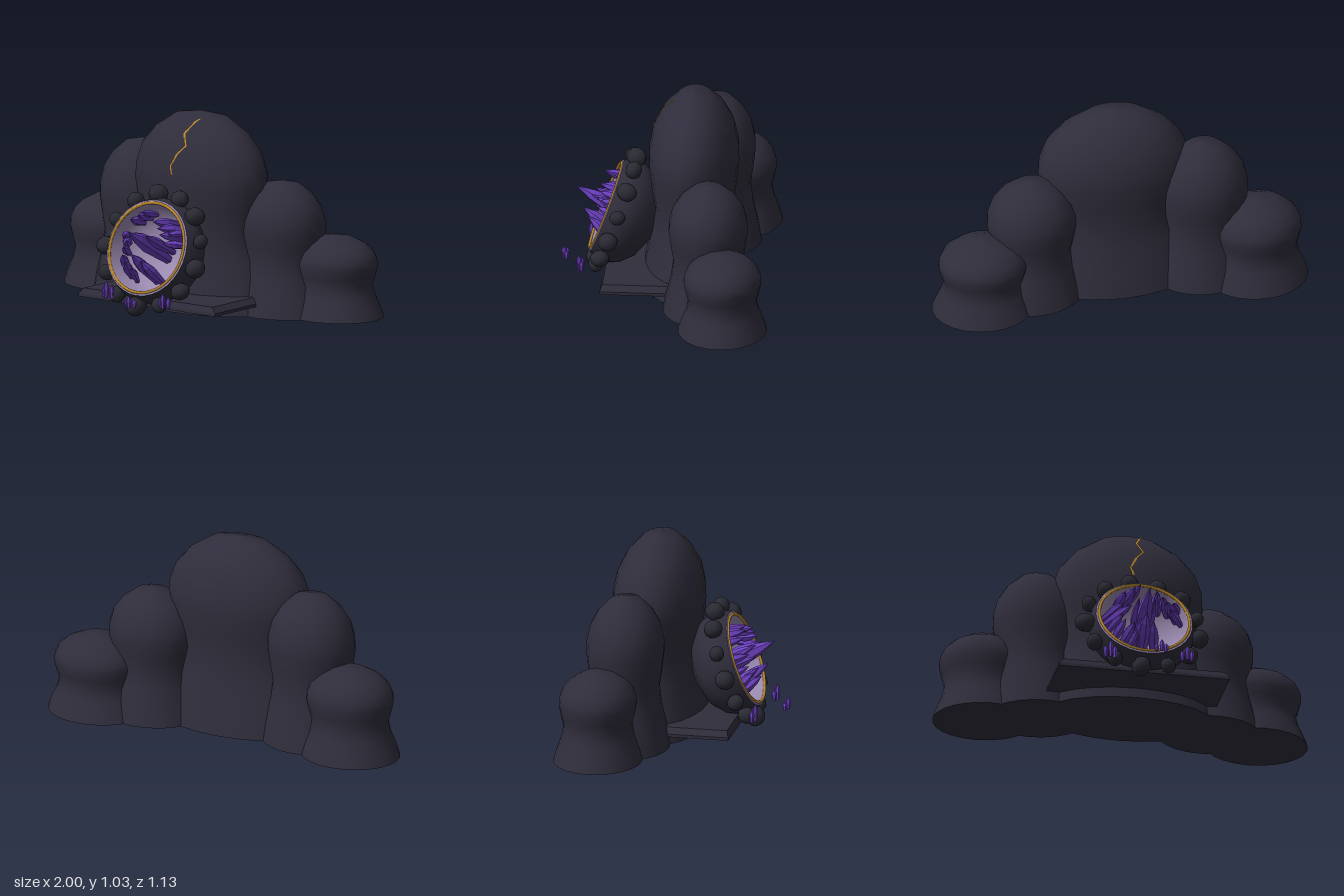
import * as THREE from 'three';

const mat = (name, color, extra = {}) => Object.assign(new THREE.MeshStandardMaterial({ color, ...extra }), { name });
const V = (x, y, z) => new THREE.Vector3(x, y, z);

export function createModel() {
  const rock = mat('dark rock', 0x2f2d3b);
  const boulderRock = mat('boulder rock', 0x2a2a34);
  const lining = mat('pale lilac lining', 0x9a8ab0);
  const gold = mat('gold', 0xb5852c, { side: THREE.DoubleSide });
  const purple = mat('purple crystal', 0x6b40bf, { flatShading: true });

  const model = new THREE.Group();
  model.name = 'geodeRock';
  const add = (parent, name, geometry, material) => {
    const mesh = new THREE.Mesh(geometry, material);
    mesh.name = name;
    parent.add(mesh);
    return mesh;
  };
  const lathe = (pts, sides) => new THREE.LatheGeometry(pts.map(([r, y]) => new THREE.Vector2(r, y)), sides);

  // Shared mound profile: flared foot, waist, bulge and dome (radius, height)
  const mound = [[1.15, 0], [1.07, 0.12], [0.94, 0.27], [0.88, 0.4], [0.95, 0.52], [1, 0.63], [0.99, 0.71],
    [0.9, 0.81], [0.7, 0.9], [0.39, 0.977], [0, 1]];
  const addMound = (name, x, z, rx, rz, h) => {
    const group = new THREE.Group();
    group.name = name;
    group.position.set(x, 0, z);
    group.scale.set(rx, h, rz);
    add(group, 'moundBody', lathe(mound, 24), rock);
    add(group, 'moundBottom', new THREE.CircleGeometry(1.15, 24).rotateX(Math.PI / 2), rock);
    model.add(group);
  };
  const main = { z: -0.128, rx: 0.402, rz: 0.236, h: 1.033 };
  addMound('centreMound', 0, main.z, main.rx, main.rz, main.h);
  addMound('leftInnerMound', 0.455, -0.235, 0.236, 0.207, 0.7);
  addMound('leftOuterMound', 0.73, -0.33, 0.235, 0.203, 0.428);
  addMound('rightInnerMound', -0.46, -0.212, 0.237, 0.203, 0.822);
  addMound('rightOuterMound', -0.73, -0.302, 0.235, 0.203, 0.485);

  // Gold crack laid on the front of the centre mound
  const surface = (x, y) => {
    const t = y / main.h;
    const i = mound.findIndex((p) => p[1] > t);
    const [r0, y0] = mound[i - 1], [r1, y1] = mound[i];
    const r = r0 + (r1 - r0) * (t - y0) / (y1 - y0);
    return V(x, y + 0.002, main.z + main.rz * Math.sqrt(Math.max(0, r * r - (x / main.rx) ** 2)) + 0.005);
  };
  const crack = [[-0.012, 0.72], [-0.027, 0.765], [0.008, 0.83], [0.047, 0.875], [0.016, 0.935], [0.044, 0.99], [0.062, 1.005]];
  const crackPos = [], crackIdx = [];
  for (let i = 0; i < crack.length - 1; i++) {
    for (let k = 0; k <= 6; k++) {
      const f = k / 6;
      const x = crack[i][0] * (1 - f) + crack[i + 1][0] * f;
      const y = crack[i][1] * (1 - f) + crack[i + 1][1] * f;
      for (const w of [-0.006, 0.006]) crackPos.push(...surface(x + w, y).toArray());
    }
  }
  for (let n = 0; n < crackPos.length / 6 - 1; n++) {
    const a = n * 2;
    crackIdx.push(a, a + 1, a + 3, a, a + 3, a + 2);
  }
  const crackGeo = new THREE.BufferGeometry();
  crackGeo.setAttribute('position', new THREE.Float32BufferAttribute(crackPos, 3));
  crackGeo.setIndex(crackIdx);
  crackGeo.computeVertexNormals();
  add(model, 'goldCrack', crackGeo, gold);

  // Ledge with a bevelled top edge
  add(model, 'ledgeBase', new THREE.BoxGeometry(0.91, 0.016, 0.42), rock).position.set(0, 0.066, 0.125);
  const bevel = new THREE.BoxGeometry(0.91, 0.03, 0.42);
  const bp = bevel.attributes.position;
  for (let i = 0; i < bp.count; i++) {
    if (bp.getY(i) > 0) bp.setXYZ(i, bp.getX(i) * 0.94, bp.getY(i), bp.getZ(i) * 0.94);
  }
  bevel.computeVertexNormals();
  add(model, 'ledgeTop', bevel, rock).position.set(0, 0.089, 0.125);

  // Geode pod, tilted back, opening along its local +z
  const pod = new THREE.Group();
  pod.name = 'geodePod';
  pod.position.set(0, 0.37, 0.333);
  pod.rotation.x = -0.357;
  model.add(pod);
  const shell = [[0, -0.285], [0.1, -0.27], [0.2, -0.225], [0.255, -0.165], [0.28, -0.1], [0.278, -0.05], [0.256, 0]];
  add(pod, 'podShell', lathe(shell, 32).rotateX(Math.PI / 2), rock);
  const bowl = [[0.257, 0], [0.246, 0.004], [0.235, 0], [0.225, -0.07], [0.19, -0.13], [0.12, -0.18], [0, -0.205]];
  add(pod, 'podLining', lathe(bowl, 32).rotateX(Math.PI / 2), lining);
  add(pod, 'goldRim', new THREE.TorusGeometry(0.24, 0.008, 8, 48), gold).position.z = 0.003;

  // Boulders around the rim
  const count = 13;
  for (let i = 0; i < count; i++) {
    const a = 0.33 + (i / count) * Math.PI * 2;
    const s = 0.046 + 0.007 * Math.sin(i * 2.3);
    const b = add(pod, 'rimBoulder', new THREE.SphereGeometry(1, 10, 7), boulderRock);
    b.position.set(Math.sin(a) * 0.305, Math.cos(a) * 0.303 - 0.002, -0.055);
    b.scale.set(s * 1.1, s, s * 0.95);
    b.rotation.set(i * 1.3, i * 0.7, i * 2.1);
  }

  // Six-sided crystals running from a base point to a tip
  const crystalGeo = lathe([[0, 0], [0.6, 0], [1, 0.55], [0.75, 0.75], [0, 1]], 6);
  const addCrystal = (parent, name, base, tip, r) => {
    const c = add(parent, name, crystalGeo, purple);
    const dir = tip.clone().sub(base);
    c.position.copy(base);
    c.scale.set(r, dir.length(), r);
    c.quaternion.setFromUnitVectors(V(0, 1, 0), dir.normalize());
  };
  const cluster = [
    // centre
    [0, -0.02, -0.2, 0, 0.045, 0.185, 0.042], [-0.03, 0.02, -0.19, -0.04, 0.06, 0.09, 0.028],
    [0.03, 0.02, -0.19, 0.045, 0.05, 0.1, 0.028],
    // lower middle
    [0, -0.15, -0.15, -0.01, -0.057, 0.11, 0.034], [0.06, -0.16, -0.13, 0.03, -0.08, 0.07, 0.03],
    [-0.04, -0.13, -0.15, -0.03, -0.06, 0.06, 0.026],
    // lower right side
    [-0.13, -0.15, -0.1, -0.07, -0.1, 0.07, 0.028], [-0.17, -0.12, -0.1, -0.11, -0.06, 0.05, 0.026],
    [-0.09, -0.17, -0.1, -0.05, -0.12, 0.03, 0.022],
    // right side
    [-0.2, 0.02, -0.1, -0.08, 0.01, 0.08, 0.028], [-0.2, 0.06, -0.09, -0.12, 0.04, 0.06, 0.026],
    [-0.19, -0.03, -0.11, -0.12, -0.02, 0.04, 0.024],
    // upper right
    [-0.1, 0.17, -0.11, -0.05, 0.155, 0.07, 0.028], [-0.14, 0.14, -0.11, -0.1, 0.13, 0.06, 0.026],
    [-0.06, 0.19, -0.1, -0.02, 0.172, 0.08, 0.022],
    // upper left and left side
    [0.1, 0.16, -0.12, 0.06, 0.13, 0.08, 0.028], [0.15, 0.14, -0.11, 0.09, 0.1, 0.07, 0.028],
    [0.19, 0.09, -0.1, 0.11, 0.07, 0.07, 0.028], [0.21, 0.05, -0.08, 0.13, 0.03, 0.05, 0.024],
    [0.2, 0.12, -0.06, 0.15, 0.08, 0.05, 0.022],
  ];
  for (const [x, y, z, tx, ty, tz, r] of cluster) addCrystal(pod, 'podCrystal', V(x, y, z), V(tx, ty, tz), r);

  // Three small crystal groups in front
  for (const [x, z, h] of [[-0.197, 0.418, 0.1], [0.05, 0.542, 0.066], [0.205, 0.452, 0.085]]) {
    const group = new THREE.Group();
    group.name = 'smallCrystals';
    group.position.set(x, 0.09, z);
    [[0, 0.008, 1], [-0.024, -0.006, 0.7], [0.024, -0.006, 0.75]].forEach(([dx, dz, k]) =>
      addCrystal(group, 'smallCrystal', V(dx, 0, dz), V(dx * 1.1, h * k, dz), 0.014));
    model.add(group);
  }
  return model;
}
